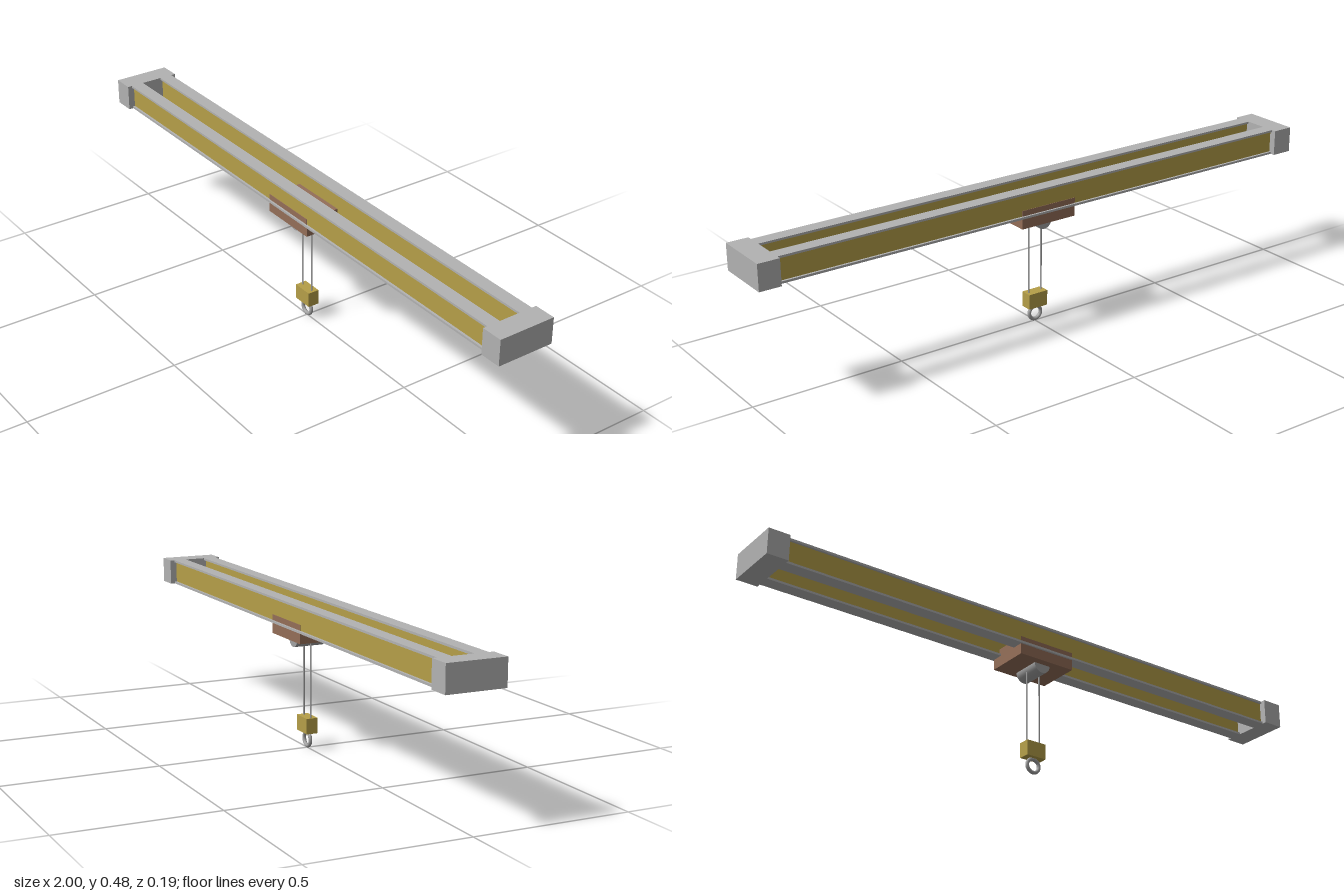
import * as THREE from 'three';

const paint = (name, color) => {
  const m = new THREE.MeshStandardMaterial({ color });
  m.name = name;
  return m;
};

export function createModel() {
  const crane = new THREE.Group();
  crane.name = 'overheadCrane';
  const grey = paint('frame grey', 0xb2b2b2);
  const gold = paint('ochre yellow', 0xb59f48);
  const brown = paint('trolley brown', 0x946e58);
  const steel = paint('steel', 0xa2a2a2);

  const add = (name, geometry, material, x, y, z, parent = crane) => {
    const mesh = new THREE.Mesh(geometry, material);
    mesh.name = name;
    mesh.position.set(x, y, z);
    parent.add(mesh);
    return mesh;
  };
  const box = (w, h, d) => new THREE.BoxGeometry(w, h, d);

  // End trucks
  for (const s of [-1, 1]) {
    add(s > 0 ? 'leftEndTruck' : 'rightEndTruck', box(0.07, 0.084, 0.188), grey, s * 0.965, 0.435, 0);
  }

  // Twin I-beam girders: yellow web between grey flanges
  const length = 1.86, flange = 0.007, bottom = 0.393, top = 0.477;
  for (const s of [-1, 1]) {
    const girder = new THREE.Group();
    girder.name = s > 0 ? 'frontGirder' : 'backGirder';
    girder.position.z = s * 0.057;
    crane.add(girder);
    add('topFlange', box(length, flange, 0.044), grey, 0, top - flange / 2, 0, girder);
    add('bottomFlange', box(length, flange, 0.044), grey, 0, bottom + flange / 2, 0, girder);
    add('web', box(length, top - bottom - 2 * flange, 0.029), gold, 0, (top + bottom) / 2, 0, girder);
  }

  // Trolley with hoist drum set into its underside
  add('trolley', box(0.2, 0.06, 0.146), brown, 0, 0.388, 0);
  const drum = new THREE.CylinderGeometry(0.029, 0.029, 0.098, 32).rotateX(Math.PI / 2);
  add('hoistDrum', drum, steel, 0, 0.358, 0);

  // Hoist ropes
  for (const s of [-1, 1]) {
    add('rope', new THREE.CylinderGeometry(0.0025, 0.0025, 0.25, 12), steel, s * 0.024, 0.218, 0);
  }

  // Hook block and ring
  add('hookBlock', box(0.07, 0.05, 0.038), gold, 0, 0.077, 0);
  add('hookRing', new THREE.TorusGeometry(0.022, 0.006, 16, 40), steel, 0, 0.028, 0);

  return crane;
}
